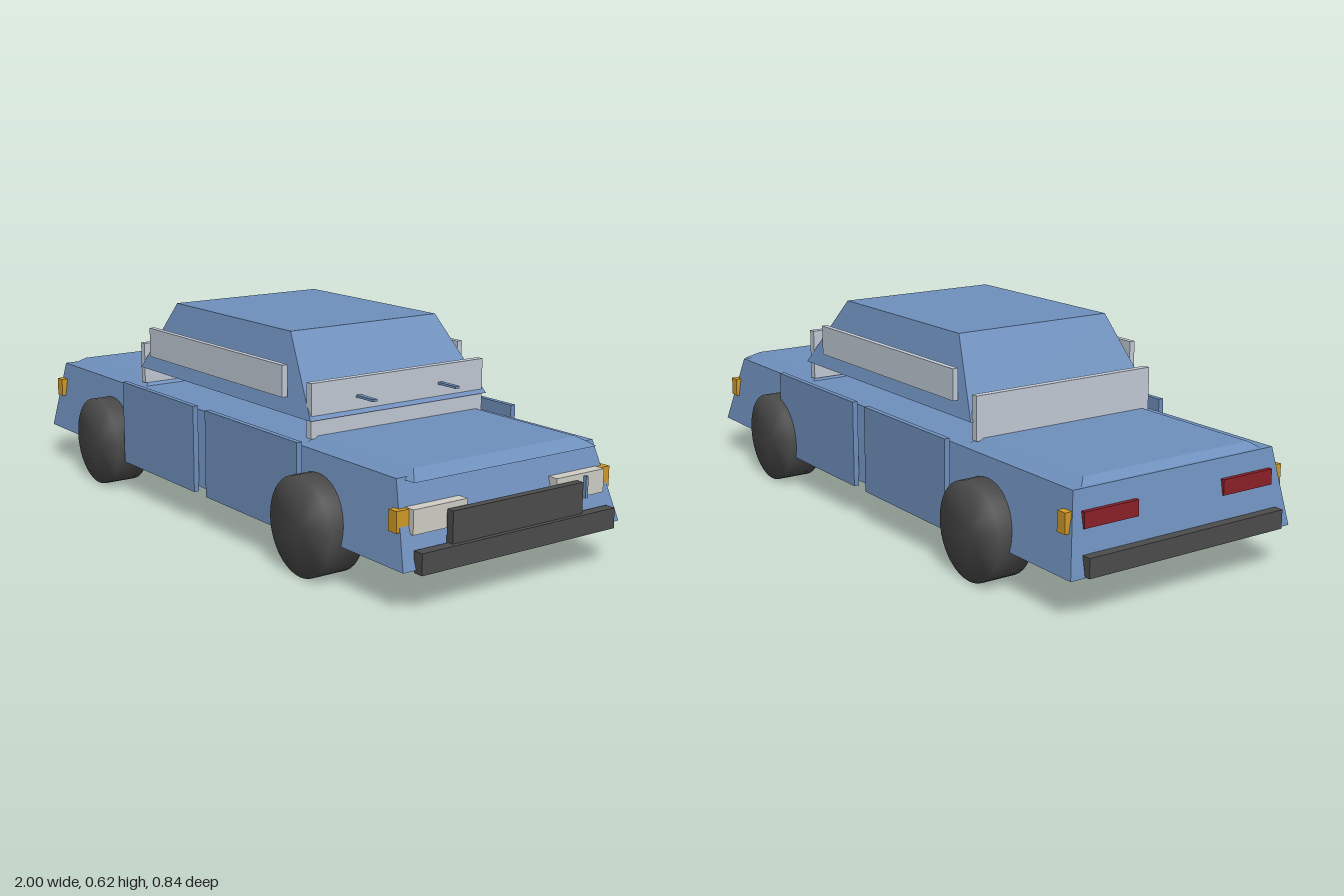
import * as THREE from 'three';
import { mergeVertices } from 'three/addons/utils/BufferGeometryUtils.js';

const paint = (color) => new THREE.MeshStandardMaterial({ color });

export function createModel() {
  const car = new THREE.Group();
  car.name = 'car';
  const blue = paint(0x6f90bd), dark = paint(0x4c4c4c), glass = paint(0xc2cad6);
  const lamp = paint(0xd0cec6), amber = paint(0xd09a28), red = paint(0x8c2028);

  const add = (name, geometry, material) => {
    const mesh = new THREE.Mesh(geometry, material);
    mesh.name = name;
    car.add(mesh);
    return mesh;
  };

  // Box given by its limits on each axis
  const block = (name, material, [x0, x1], [y0, y1], [z0, z1]) =>
    add(name, new THREE.BoxGeometry(x1 - x0, y1 - y0, z1 - z0), material)
      .position.set((x0 + x1) / 2, (y0 + y1) / 2, (z0 + z1) / 2);

  // Tapered block: [rear x, front x, half width] at the bottom and at the top
  const tapered = (name, material, y0, y1, bottom, top) => {
    const g = new THREE.BoxGeometry(1, 1, 1);
    const p = g.attributes.position;
    for (let i = 0; i < p.count; i++) {
      const [rear, front, half] = p.getY(i) < 0 ? bottom : top;
      p.setXYZ(i, p.getX(i) < 0 ? rear : front, p.getY(i) < 0 ? y0 : y1, Math.sign(p.getZ(i)) * half);
    }
    g.computeVertexNormals();
    add(name, g, material);
  };

  // Body, lids and cabin
  tapered('body', blue, 0.117, 0.34, [-0.982, 0.977, 0.386], [-0.94, 0.9, 0.35]);
  tapered('hood', blue, 0.333, 0.357, [0.46, 0.94, 0.325], [0.48, 0.895, 0.29]);
  tapered('trunkLid', blue, 0.333, 0.357, [-0.94, -0.43, 0.325], [-0.905, -0.45, 0.29]);
  tapered('cabin', blue, 0.403, 0.624, [-0.45, 0.49, 0.322], [-0.31, 0.315, 0.266]);

  // Front and rear glass, bumpers and grille
  block('windshield', glass, [0.458, 0.481], [0.35, 0.507], [-0.313, 0.313]);
  block('rearWindow', glass, [-0.465, -0.443], [0.35, 0.48], [-0.313, 0.313]);
  block('grille', dark, [0.962, 0.986], [0.155, 0.255], [-0.232, 0.232]);
  block('frontBumper', dark, [0.968, 1], [0.108, 0.167], [-0.344, 0.344]);
  block('rearBumper', dark, [-1, -0.97], [0.12, 0.175], [-0.34, 0.34]);
  block('frontTrimBar', blue, [0.958, 0.968], [0.2, 0.262], [-0.27, -0.261]);

  // Smooth-shaded wheel with normals shared over the rim
  const wheel = new THREE.CylinderGeometry(0.142, 0.142, 0.11, 40).rotateX(Math.PI / 2);
  wheel.deleteAttribute('normal');
  wheel.deleteAttribute('uv');
  const smoothWheel = mergeVertices(wheel);
  smoothWheel.computeVertexNormals();

  // Parts repeated on both sides
  for (const [side, s] of [['left', -1], ['right', 1]]) {
    const span = (a, b) => (s > 0 ? [a, b] : [-b, -a]);
    block(side + 'SideWindow', glass, [-0.375, 0.367], [0.45, 0.542], span(0.313, 0.331));
    block(side + 'RearDoor', blue, [-0.435, -0.002], [0.1, 0.365], span(0.383, 0.4));
    block(side + 'FrontDoor', blue, [0.064, 0.535], [0.1, 0.365], span(0.383, 0.4));
    block(side + 'Headlight', lamp, [0.925, 0.958], [0.203, 0.27], span(0.16, 0.34));
    block(side + 'FrontMarker', amber, [0.907, 0.94], [0.21, 0.268], span(0.34, 0.38));
    block(side + 'RearMarker', amber, [-0.948, -0.915], [0.23, 0.288], span(0.34, 0.38));
    block(side + 'TailLight', red, [-0.963, -0.945], [0.24, 0.285], span(0.15, 0.33));
    block(side + 'Wiper', blue, [0.455, 0.557], [0.449, 0.456], span(0.142, 0.158));
    for (const [end, x] of [['Front', 0.577], ['Rear', -0.582]])
      add(side + end + 'Wheel', smoothWheel, dark).position.set(x, 0.142, s * 0.365);
  }
  return car;
}
